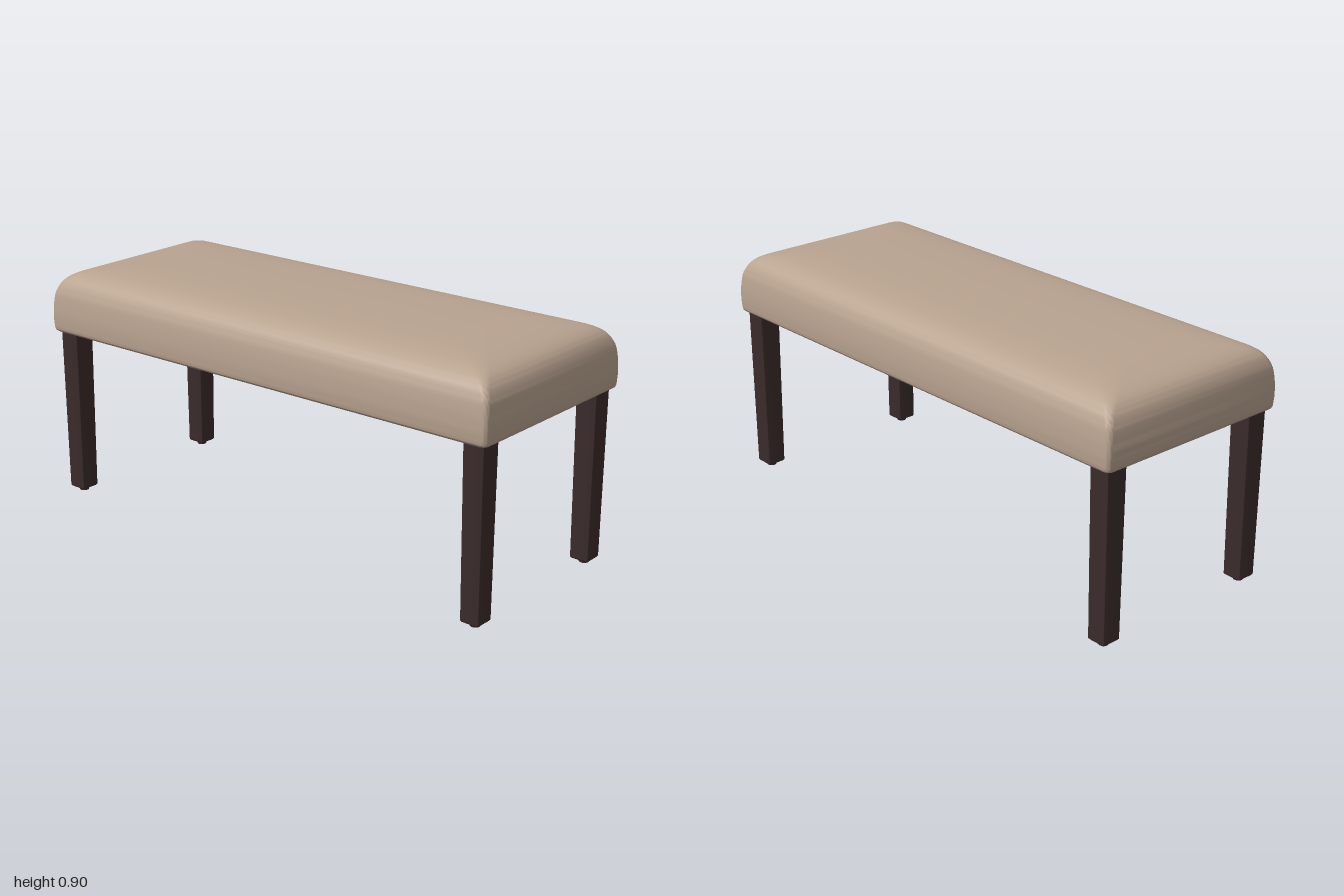
import * as THREE from 'three';
import { toCreasedNormals } from 'three/addons/utils/BufferGeometryUtils.js';

const CORNER_STEPS = 5;

// Outline of a rounded rectangle in the xz plane
function outline(hx, hz, r, y) {
  const pts = [];
  const signs = [[1, 1], [-1, 1], [-1, -1], [1, -1]];
  signs.forEach(([sx, sz], q) => {
    for (let i = 0; i <= CORNER_STEPS; i++) {
      const a = (q + i / CORNER_STEPS) * Math.PI / 2;
      pts.push([sx * (hx - r) + r * Math.cos(a), y, sz * (hz - r) + r * Math.sin(a)]);
    }
  });
  return pts;
}

// Closed loft through rounded rectangles, listed from bottom to top
function loft(levels, crease) {
  const rings = levels.map(l => outline(l.hx, l.hz, l.r, l.y));
  const n = rings[0].length;
  const pos = rings.flat(2);
  const index = [];
  for (let k = 0; k < rings.length - 1; k++) {
    for (let i = 0; i < n; i++) {
      const a = k * n + i, b = k * n + (i + 1) % n;
      index.push(a, a + n, b + n, a, b + n, b);
    }
  }
  // bottom and top caps
  const last = (rings.length - 1) * n, low = rings.length * n, high = low + 1;
  pos.push(0, levels[0].y, 0, 0, levels[levels.length - 1].y, 0);
  for (let i = 0; i < n; i++) {
    const j = (i + 1) % n;
    index.push(low, i, j, high, last + j, last + i);
  }
  const g = new THREE.BufferGeometry();
  g.setAttribute('position', new THREE.Float32BufferAttribute(pos, 3));
  g.setIndex(index);
  return toCreasedNormals(g, crease);
}

export function createModel() {
  const fabric = new THREE.MeshStandardMaterial({ color: 0xb9a390 });
  fabric.name = 'beige upholstery';
  const wood = new THREE.MeshStandardMaterial({ color: 0x3b2b2b });
  wood.name = 'dark wood';

  const bench = new THREE.Group();
  bench.name = 'bench';

  // Padded seat: profile of [inset from the side, height]
  const profile = new THREE.CatmullRomCurve3([
    [0.012, 0.65], [0.004, 0.657], [0.001, 0.68], [0, 0.72], [0.003, 0.77], [0.01, 0.81],
    [0.028, 0.847], [0.05, 0.867], [0.085, 0.882], [0.14, 0.892], [0.2, 0.897], [0.28, 0.9],
  ].map(([d, y]) => new THREE.Vector3(d, y, 0)), false, 'centripetal');
  const seatLevels = profile.getPoints(44).map(({ x: d, y }) => ({
    hx: 1 - d, hz: 0.4 - d, r: 0.018 + 0.33 * Math.max(d, 0), y,
  }));
  const seat = new THREE.Mesh(loft(seatLevels, 0.7), fabric);
  seat.name = 'seat';
  bench.add(seat);

  // Tapered square legs with softened edges, each on a small foot
  const legGeometry = loft([
    { hx: 0.033, hz: 0.033, r: 0.003, y: 0.015 },
    { hx: 0.037, hz: 0.037, r: 0.004, y: 0.02 },
    { hx: 0.0405, hz: 0.0415, r: 0.004, y: 0.655 },
  ], 0.6);
  const footGeometry = new THREE.CylinderGeometry(0.018, 0.018, 0.018, 20);
  for (const sx of [1, -1]) {
    for (const sz of [1, -1]) {
      const leg = new THREE.Group();
      leg.name = (sz > 0 ? 'front' : 'back') + (sx > 0 ? 'Left' : 'Right') + 'Leg';
      leg.position.set(sx * 0.936, 0, sz * 0.334);
      const post = new THREE.Mesh(legGeometry, wood);
      post.name = 'post';
      const foot = new THREE.Mesh(footGeometry, wood);
      foot.name = 'foot';
      foot.position.y = 0.009;
      leg.add(post, foot);
      bench.add(leg);
    }
  }
  return bench;
}
